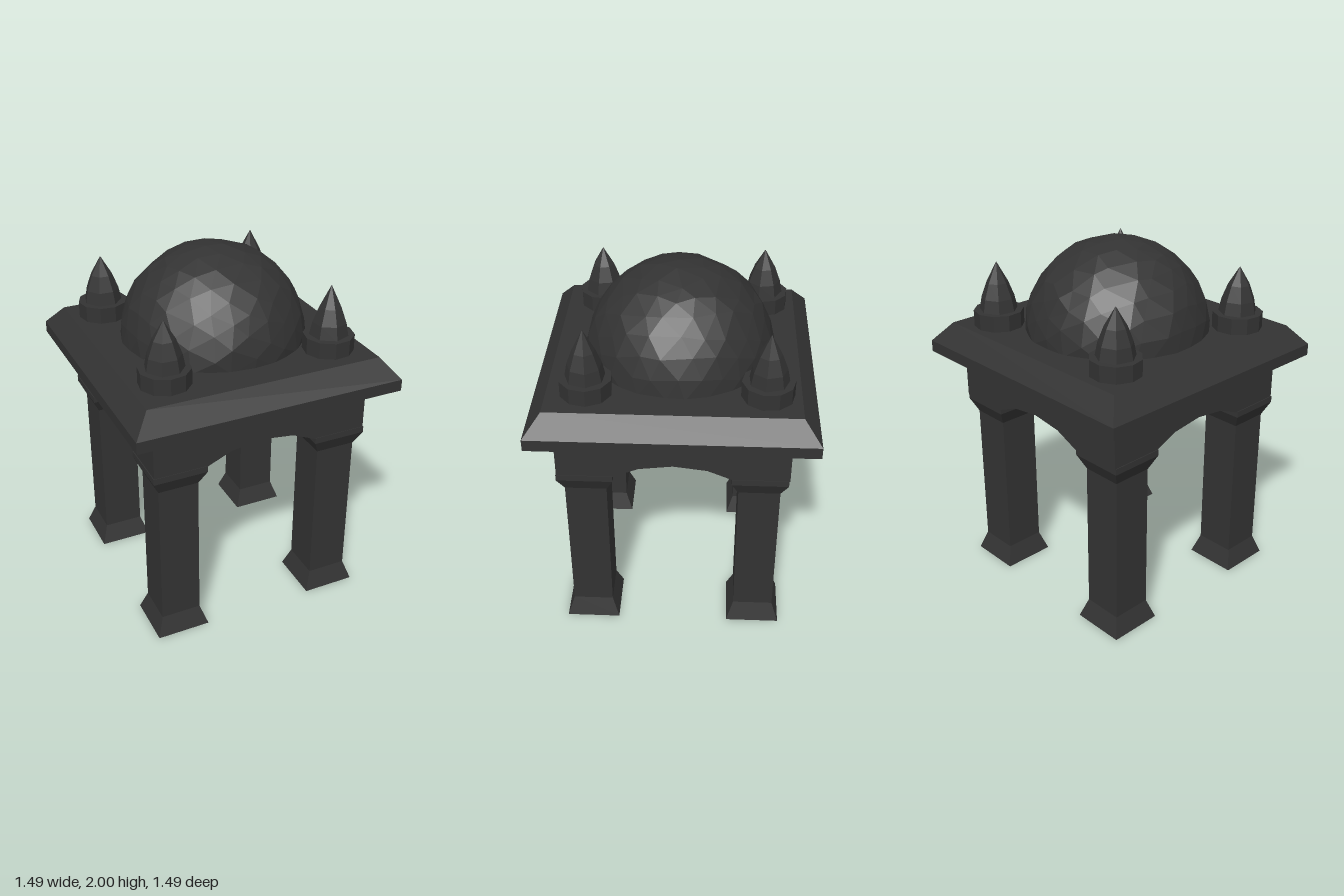
import * as THREE from 'three';

const stone = new THREE.MeshStandardMaterial({ color: 0x333333, flatShading: true });
stone.name = 'dark stone';

function part(parent, name, geometry, x = 0, z = 0) {
  const mesh = new THREE.Mesh(geometry, stone);
  mesh.name = name;
  mesh.position.set(x, 0, z);
  parent.add(mesh);
  return mesh;
}

// Turned solid from [radius, height] pairs, bottom to top
function turned(profile, sides) {
  return new THREE.LatheGeometry(profile.map(([r, y]) => new THREE.Vector2(r, y)), sides);
}

// Square solid from [half width, height] pairs
function squareTurned(profile) {
  return turned(profile.map(([w, y]) => [w * Math.SQRT2, y]), 4).rotateY(Math.PI / 4);
}

// Block whose underside is cut by two crossing arches
function archBlock() {
  const steps = [-0.615, -0.32, -0.18, 0, 0.18, 0.32, 0.615];
  const rise = [1.06, 1.06, 1.12, 1.143, 1.12, 1.06, 1.06];
  const geometry = new THREE.BoxGeometry(6, 2, 6, 6, 1, 6);
  const p = geometry.attributes.position;
  for (let i = 0; i < p.count; i++) {
    const a = Math.round(p.getX(i) + 3), b = Math.round(p.getZ(i) + 3);
    p.setXYZ(i, steps[a], p.getY(i) > 0 ? 1.33 : Math.max(rise[a], rise[b]), steps[b]);
  }
  geometry.computeVertexNormals();
  return geometry;
}

// Roughly hewn dome, flattened where it sinks into the roof
function roughDome() {
  const geometry = new THREE.IcosahedronGeometry(1, 4);
  const p = geometry.attributes.position;
  const v = new THREE.Vector3();
  const noise = (a, b, c) => Math.sin(a * 17.3 + b * 29.1 + c * 41.7);
  for (let i = 0; i < p.count; i++) {
    v.fromBufferAttribute(p, i);
    const n = noise(v.x, v.y, v.z), m = noise(v.z, v.x, v.y);
    v.x += 0.04 * n;
    v.z += 0.04 * m;
    v.normalize().multiplyScalar(0.512 + 0.004 * m);
    p.setXYZ(i, v.x, Math.max(v.y + 1.488, 1.46), v.z);
  }
  geometry.computeVertexNormals();
  return geometry;
}

export function createModel() {
  const model = new THREE.Group();
  model.name = 'domed pavilion';

  // Four pillars with flared feet and capitals
  const pillarShape = squareTurned([
    [0, 0], [0.15, 0], [0.112, 0.11], [0.112, 0.95], [0.15, 1.03], [0.15, 1.065], [0, 1.065],
  ]);
  for (const x of [-0.469, 0.469]) {
    for (const z of [-0.46, 0.468]) part(model, 'pillar', pillarShape, x, z);
  }

  part(model, 'archBlock', archBlock());

  // Roof slab with sloping upper edge
  part(model, 'roofSlab', squareTurned([
    [0, 1.325], [0.747, 1.325], [0.747, 1.39], [0.655, 1.5], [0, 1.5],
  ]));

  part(model, 'dome', roughDome(), 0, -0.015);

  // Corner finials: [x, z, tip height, turn]
  const corners = [
    [-0.475, -0.475, 1.85, 0.2], [0.46, -0.48, 1.86, 0.7],
    [-0.475, 0.445, 1.845, 1.1], [0.462, 0.45, 1.865, 0.4],
  ];
  for (const [x, z, tip, turn] of corners) {
    const finial = new THREE.Group();
    finial.name = 'finial';
    model.add(finial);
    part(finial, 'finialBase', turned([[0.138, 1.48], [0.138, 1.59], [0, 1.59]], 10), x, z).rotation.y = turn;
    part(finial, 'finialSpike', turned([
      [0.108, 1.58], [0.092, 1.66], [0.06, 1.745], [0, tip],
    ], 7), x, z).rotation.y = turn * 2;
  }
  return model;
}
